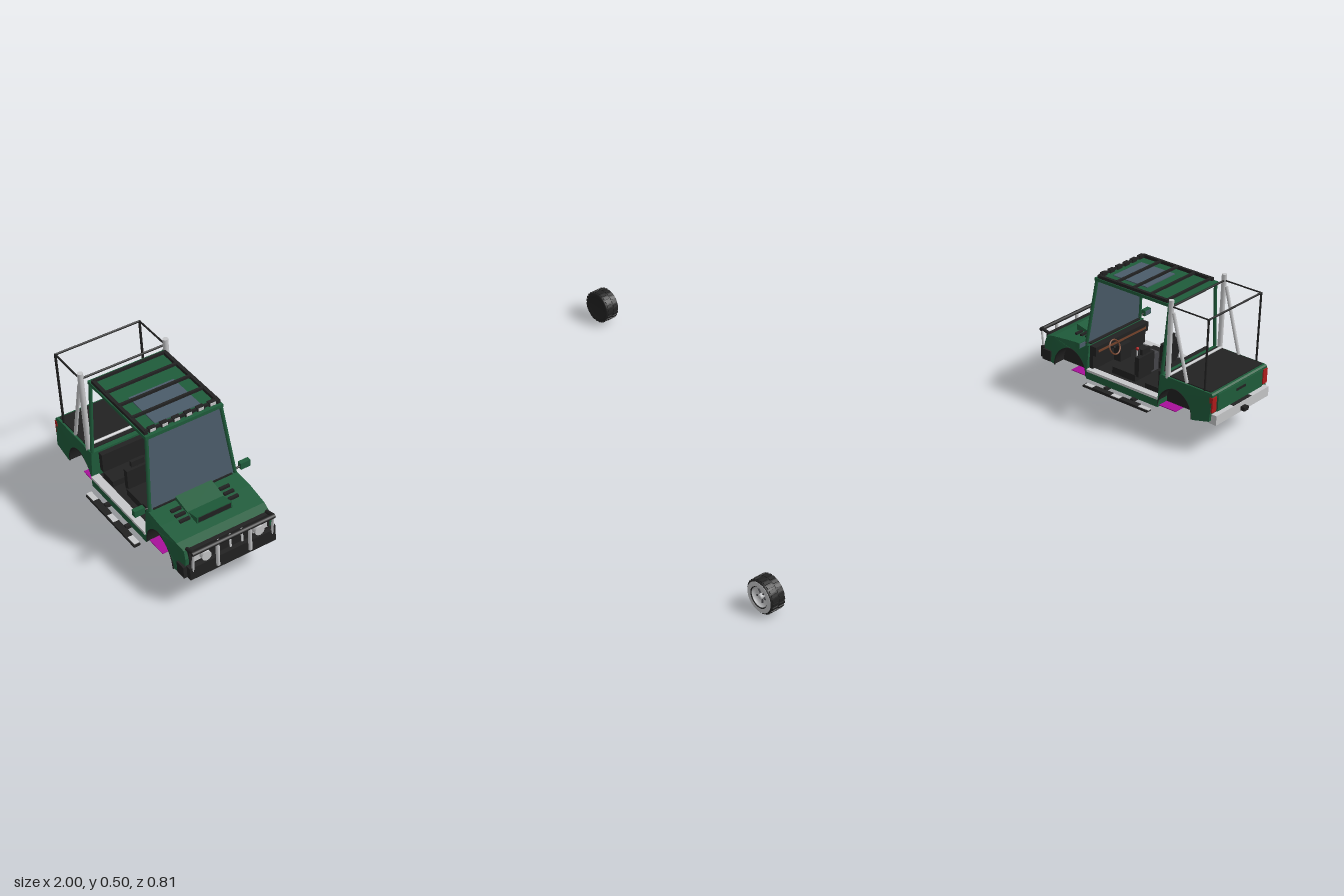
import * as THREE from 'three';

const mat = (name, color, side = THREE.FrontSide) => {
  const m = new THREE.MeshStandardMaterial({ color, side });
  m.name = name;
  return m;
};

export function createModel() {
  const green = mat('green paint', 0x1f5c3b), black = mat('black trim', 0x222222, THREE.DoubleSide);
  const silver = mat('silver', 0xc6c7c9), glass = mat('tinted glass', 0x4b5c6a, THREE.DoubleSide);
  const red = mat('red', 0xb01c1c), brown = mat('brown wood', 0x74422a);
  const grey = mat('dark grey', 0x454549), magenta = mat('magenta', 0xa8109a, THREE.DoubleSide);

  const root = new THREE.Group();
  root.name = 'truckAndWheel';
  const truck = new THREE.Group();
  truck.name = 'truck';
  truck.position.x = -0.802;
  root.add(truck);

  const add = (name, geo, m, parent = truck) => {
    const mesh = new THREE.Mesh(geo, m);
    mesh.name = name;
    parent.add(mesh);
    return mesh;
  };
  // Box given by its ranges on each axis
  const box = (name, m, [x0, x1], [y0, y1], [z0, z1], parent) => {
    const mesh = add(name, new THREE.BoxGeometry(x1 - x0, y1 - y0, z1 - z0), m, parent);
    mesh.position.set((x0 + x1) / 2, (y0 + y1) / 2, (z0 + z1) / 2);
    return mesh;
  };
  const pair = (name, m, [x0, x1], y, z) => {
    box(name + 'Left', m, [x0, x1], y, z);
    box(name + 'Right', m, [-x1, -x0], y, z);
  };
  // Straight bar between two points
  const bar = (name, m, a, b, r, sides = 8, parent) => {
    const p = new THREE.Vector3(...a), q = new THREE.Vector3(...b), d = q.clone().sub(p);
    const mesh = add(name, new THREE.CylinderGeometry(r, r, d.length(), sides), m, parent);
    mesh.position.copy(p).add(q).multiplyScalar(0.5);
    mesh.quaternion.setFromUnitVectors(new THREE.Vector3(0, 1, 0), d.normalize());
    return mesh;
  };
  // Side profile in (z, y), extruded across x from x0 to x1
  const profile = (name, m, pts, x0, x1, rule) => {
    const geo = new THREE.ExtrudeGeometry(new THREE.Shape(pts.map(p => new THREE.Vector2(...p))),
      { depth: x1 - x0, bevelEnabled: false });
    geo.translate(0, 0, -x1).rotateY(-Math.PI / 2);
    const pos = geo.attributes.position;
    if (rule) for (let i = 0; i < pos.count; i++) pos.setX(i, rule(pos.getX(i), pos.getY(i), pos.getZ(i)));
    geo.computeVertexNormals();
    return add(name, geo, m);
  };
  const arch = (zc, r = 0.073) => Array.from({ length: 17 }, (_, i) => {
    const a = Math.PI * i / 16;
    return [zc + r * Math.cos(a), 0.103 + 0.085 * Math.sin(a)];
  });
  // Body sides lean in at the shoulders and at the nose
  const lean = (x, y, z) => x * (1 - 0.05 * Math.max(0, (y - 0.18) / 0.04) - 0.08 * Math.max(0, (z - 0.3) / 0.07));

  // Front and rear bodywork with open wheel arches
  const noseTop = [[0.165, 0.222], [0.25, 0.215], [0.33, 0.205], [0.362, 0.196], [0.37, 0.17], [0.368, 0.115], [0.345, 0.103]];
  const bedTop = [[-0.365, 0.12], [-0.37, 0.215], [-0.365, 0.22], [-0.148, 0.22], [-0.148, 0.103]];
  const rearLow = [-0.3, 0.103];
  const W = 0.16, IN = 0.105;
  profile('noseCore', green, [...noseTop, [0.165, 0.103]], -IN, IN, lean);
  profile('bedCore', green, [...bedTop, rearLow], -IN, IN, lean);
  for (const [x0, x1] of [[IN, W], [-W, -IN]]) {
    profile('frontFender', green, [...noseTop, ...arch(0.242), [0.165, 0.103]], x0, x1, lean);
    profile('rearFender', green, [...bedTop, ...arch(-0.22), rearLow], x0, x1, lean);
    for (const zc of [0.242, -0.22]) {
      const s = Math.sign(x0);
      const inner = s * (IN + 0.002);
      profile('wheelWell', black, arch(zc, 0.0725), inner - 0.002, inner + 0.002);
      const lip = new THREE.TubeGeometry(new THREE.CatmullRomCurve3(
        arch(zc, 0.0725).map(([z, y]) => new THREE.Vector3(s * W * 0.985, y - 0.001, z))), 24, 0.0025, 5);
      add('archLip', lip, black);
      const liner = new THREE.CylinderGeometry(0.0722, 0.0722, W - IN - 0.004, 20, 1, true, 0, Math.PI);
      liner.rotateZ(Math.PI / 2).scale(1, 0.084 / 0.0722, 1);
      // keep the upper half of the well
      const p = liner.attributes.position;
      for (let i = 0; i < p.count; i++) p.setY(i, Math.abs(p.getY(i)));
      add('wheelLiner', liner, black).position.set(s * (W + IN) / 2, 0.103, zc);
    }
  }
  pair('frontUnderPatch', magenta, [0.08, 0.15], [0.1, 0.103], [0.169, 0.242]);
  pair('rearUnderPatch', magenta, [0.08, 0.15], [0.1, 0.103], [-0.22, -0.148]);

  // Floor, sills and side steps
  box('floorPan', green, [-0.15, 0.15], [0.1, 0.124], [-0.15, 0.167]);
  box('floorMat', black, [-0.148, 0.148], [0.124, 0.13], [-0.148, 0.165]);
  pair('sill', green, [0.135, 0.16], [0.098, 0.126], [-0.15, 0.167]);
  pair('sillTrim', silver, [0.135, 0.162], [0.126, 0.135], [-0.148, 0.165]);
  pair('sideStep', black, [0.172, 0.194], [0.083, 0.09], [-0.132, 0.153]);
  pair('stepPlate', silver, [0.173, 0.19], [0.09, 0.092], [-0.135, 0.148]);
  for (const z of [-0.05, 0.07]) {
    pair('stepPad', black, [0.173, 0.195], [0.09, 0.094], [z - 0.04, z + 0.04]);
    pair('stepBracket', black, [0.12, 0.175], [0.088, 0.1], [z - 0.006, z + 0.006]);
  }

  // Hood scoop and vents
  profile('hoodScoop', green, [[0.185, 0.236], [0.265, 0.217], [0.185, 0.21]], -0.062, 0.062);
  profile('hoodLip', green, [[0.298, 0.232], [0.298, 0.205], [0.25, 0.21], [0.25, 0.221]], -0.06, 0.06);
  box('scoopGrille', black, [-0.055, 0.055], [0.213, 0.229], [0.297, 0.3]);
  box('cowl', black, [-0.135, 0.135], [0.215, 0.225], [0.168, 0.184]);
  for (let i = 0; i < 3; i++) {
    const z = 0.215 + i * 0.024;
    pair('hoodVent', black, [0.066, 0.1], [0.21, 0.2245 - i * 0.0025], [z, z + 0.01]);
  }

  // Grille, lamps, bumper and bull bar
  box('grille', black, [-0.136, 0.136], [0.135, 0.198], [0.36, 0.374]);
  pair('headlamp', silver, [0.075, 0.125], [0.158, 0.192], [0.37, 0.379]);
  for (const x of [-0.04, 0, 0.04]) box('grilleBar', silver, [x - 0.003, x + 0.003], [0.145, 0.195], [0.37, 0.378]);
  box('frontBumper', black, [-0.146, 0.146], [0.105, 0.147], [0.345, 0.39]);
  pair('bumperEnd', black, [0.14, 0.157], [0.105, 0.145], [0.335, 0.372]);
  bar('bullBarTop', black, [-0.14, 0.206, 0.397], [0.14, 0.206, 0.397], 0.007);
  for (const s of [-1, 1]) {
    bar('bullBarStay', black, [s * 0.135, 0.21, 0.398], [s * 0.135, 0.2, 0.362], 0.006);
    bar('bullBarPost', silver, [s * 0.055, 0.12, 0.394], [s * 0.055, 0.2, 0.396], 0.006);
    bar('bullBarOuter', silver, [s * 0.135, 0.13, 0.386], [s * 0.135, 0.2, 0.396], 0.004);
    bar('spotLamp', silver, [s * 0.09, 0.172, 0.38], [s * 0.09, 0.172, 0.394], 0.016, 14);
  }

  // Windshield, pillars and mirrors
  const shield = new THREE.BufferGeometry();
  shield.setAttribute('position', new THREE.Float32BufferAttribute(
    [-0.146, 0.222, 0.18, 0.146, 0.222, 0.18, 0.124, 0.465, 0.158, -0.124, 0.465, 0.158], 3));
  shield.setIndex([0, 1, 2, 0, 2, 3]);
  shield.computeVertexNormals();
  add('windshield', shield, glass);
  for (const s of [-1, 1]) {
    bar('frontPillar', green, [s * 0.147, 0.215, 0.18], [s * 0.124, 0.466, 0.159], 0.006);
    bar('rearPillar', green, [s * 0.147, 0.215, -0.153], [s * 0.126, 0.466, -0.156], 0.006);
    bar('mirrorArm', black, [s * 0.14, 0.228, 0.178], [s * 0.17, 0.234, 0.178], 0.003);
  }
  pair('mirror', green, [0.164, 0.198], [0.224, 0.246], [0.17, 0.186]);
  pair('mirrorGlass', glass, [0.167, 0.195], [0.227, 0.243], [0.168, 0.17]);

  // Roof, skylight and rack
  box('roof', green, [-0.13, 0.13], [0.462, 0.473], [-0.165, 0.165]);
  box('roofLining', black, [-0.122, 0.122], [0.458, 0.462], [-0.158, 0.158]);
  box('skylight', glass, [-0.076, 0.076], [0.473, 0.476], [-0.02, 0.127]);
  pair('rackRail', black, [0.116, 0.127], [0.473, 0.484], [-0.147, 0.155]);
  for (const z of [-0.142, -0.072, 0.003, 0.074, 0.15])
    box('rackBar', black, [-0.122, 0.122], [0.478, 0.486], [z - 0.004, z + 0.004]);
  for (let i = 0; i < 6; i++) {
    const x = -0.1 + i * 0.04;
    box('rackLampHousing', black, [x - 0.012, x + 0.012], [0.476, 0.489], [0.143, 0.157]);
    box('rackLamp', silver, [x - 0.009, x + 0.009], [0.478, 0.487], [0.157, 0.159]);
  }

  // Seats, dashboard and controls
  for (const s of [-1, 1]) {
    const x = s * 0.07;
    box('seatBase', black, [x - 0.045, x + 0.045], [0.13, 0.155], [-0.015, 0.087]);
    box('seatBack', black, [x - 0.042, x + 0.042], [0.15, 0.222], [-0.027, -0.008]);
    box('headrest', black, [x - 0.022, x + 0.022], [0.226, 0.246], [-0.024, -0.013]);
    bar('headrestPost', black, [x, 0.215, -0.018], [x, 0.23, -0.018], 0.003);
  }
  box('console', grey, [-0.02, 0.02], [0.13, 0.196], [-0.01, 0.046]);
  box('rearBench', black, [-0.13, 0.13], [0.13, 0.151], [-0.128, -0.07]);
  box('rearBenchBack', black, [-0.13, 0.13], [0.15, 0.216], [-0.145, -0.126]);
  box('dashboard', black, [-0.145, 0.145], [0.186, 0.22], [0.138, 0.172]);
  box('dashTrim', brown, [-0.13, 0.13], [0.198, 0.206], [0.136, 0.139]);
  box('firewall', black, [-0.145, 0.145], [0.13, 0.19], [0.15, 0.168]);
  box('centreStack', black, [-0.03, 0.03], [0.13, 0.19], [0.12, 0.152]);
  const steering = add('steeringWheel', new THREE.TorusGeometry(0.026, 0.003, 6, 20), brown);
  steering.position.set(0.07, 0.205, 0.115);
  steering.rotation.x = 0.43;
  bar('steeringColumn', black, [0.07, 0.205, 0.115], [0.07, 0.194, 0.142], 0.004);
  bar('gearLever', silver, [0, 0.13, 0.07], [0, 0.185, 0.07], 0.003);
  add('gearKnob', new THREE.SphereGeometry(0.006, 10, 8), red).position.set(0, 0.188, 0.07);

  // Bed cover, roll bar and cargo cage
  box('bedCover', black, [-0.145, 0.145], [0.217, 0.2235], [-0.357, -0.165]);
  for (const s of [-1, 1]) {
    const x = s * 0.145;
    bar('rollBarPost', silver, [x, 0.215, -0.177], [x, 0.5, -0.177], 0.009, 12);
    bar('rollBarBrace', silver, [x, 0.457, -0.188], [x, 0.222, -0.257], 0.006);
    bar('cageRail', black, [x, 0.477, -0.18], [x, 0.477, -0.333], 0.003, 6);
    bar('cagePost', black, [x, 0.22, -0.331], [x, 0.479, -0.331], 0.004, 6);
  }
  bar('rollBarFoot', silver, [-0.145, 0.226, -0.183], [0.145, 0.226, -0.183], 0.005);
  for (const z of [-0.18, -0.331]) bar('cageCrossbar', black, [-0.145, 0.477, z], [0.145, 0.477, z], 0.0035, 6);

  // Tail lamps, rear bumper and tow hitch
  pair('tailLamp', red, [0.132, 0.155], [0.152, 0.207], [-0.373, -0.36]);
  box('tailgate', green, [-0.125, 0.125], [0.148, 0.212], [-0.374, -0.36]);
  box('tailgateHandle', black, [-0.025, 0.025], [0.188, 0.196], [-0.377, -0.373]);
  box('rearBumper', silver, [-0.148, 0.148], [0.108, 0.144], [-0.387, -0.357]);
  box('bumperStep', black, [-0.05, 0.05], [0.143, 0.146], [-0.385, -0.362]);
  box('towHitch', black, [-0.012, 0.012], [0.114, 0.128], [-0.404, -0.38]);

  // Loose wheel, outer face towards +x
  const wheel = new THREE.Group();
  wheel.name = 'wheel';
  wheel.position.set(0.969, 0.057, 0.012);
  wheel.rotation.z = -Math.PI / 2;
  root.add(wheel);
  const V = (r, h) => new THREE.Vector2(r, h);
  const lathe = (name, m, pts) => add(name, new THREE.LatheGeometry(pts.map(p => V(...p)), 32), m, wheel);
  lathe('tyre', black, [[0, -0.02], [0.034, -0.02], [0.036, -0.027], [0.05, -0.027], [0.0545, -0.022],
    [0.0545, 0.022], [0.05, 0.0275], [0.036, 0.0275], [0.034, 0.012]]);
  lathe('whitewall', silver, [[0.0505, 0.0275], [0.049, 0.029], [0.036, 0.029]]);
  lathe('rim', silver, [[0.033, 0.027], [0.031, 0.027], [0.028, 0.014], [0, 0.014]]);
  lathe('hub', silver, [[0.0095, 0.014], [0.0085, 0.024], [0.004, 0.026], [0, 0.026]]);
  for (let i = 0; i < 5; i++) {
    const a = i * Math.PI * 0.4;
    bar('spoke', grey, [0, 0.016, 0], [0.024 * Math.cos(a), 0.016, 0.024 * Math.sin(a)], 0.003, 6, wheel);
  }
  for (let i = 0; i < 24; i++) {
    const a = i * Math.PI / 12;
    for (const s of [-1, 1]) {
      const b = a + (s > 0 ? Math.PI / 24 : 0);
      const lug = box('treadLug', black, [-0.002, 0.002], [-0.01, 0.01], [-0.0045, 0.0045], wheel);
      lug.position.set(0.055 * Math.cos(b), s * 0.0125, 0.055 * Math.sin(b));
      lug.rotation.y = -b;
    }
  }
  return root;
}
